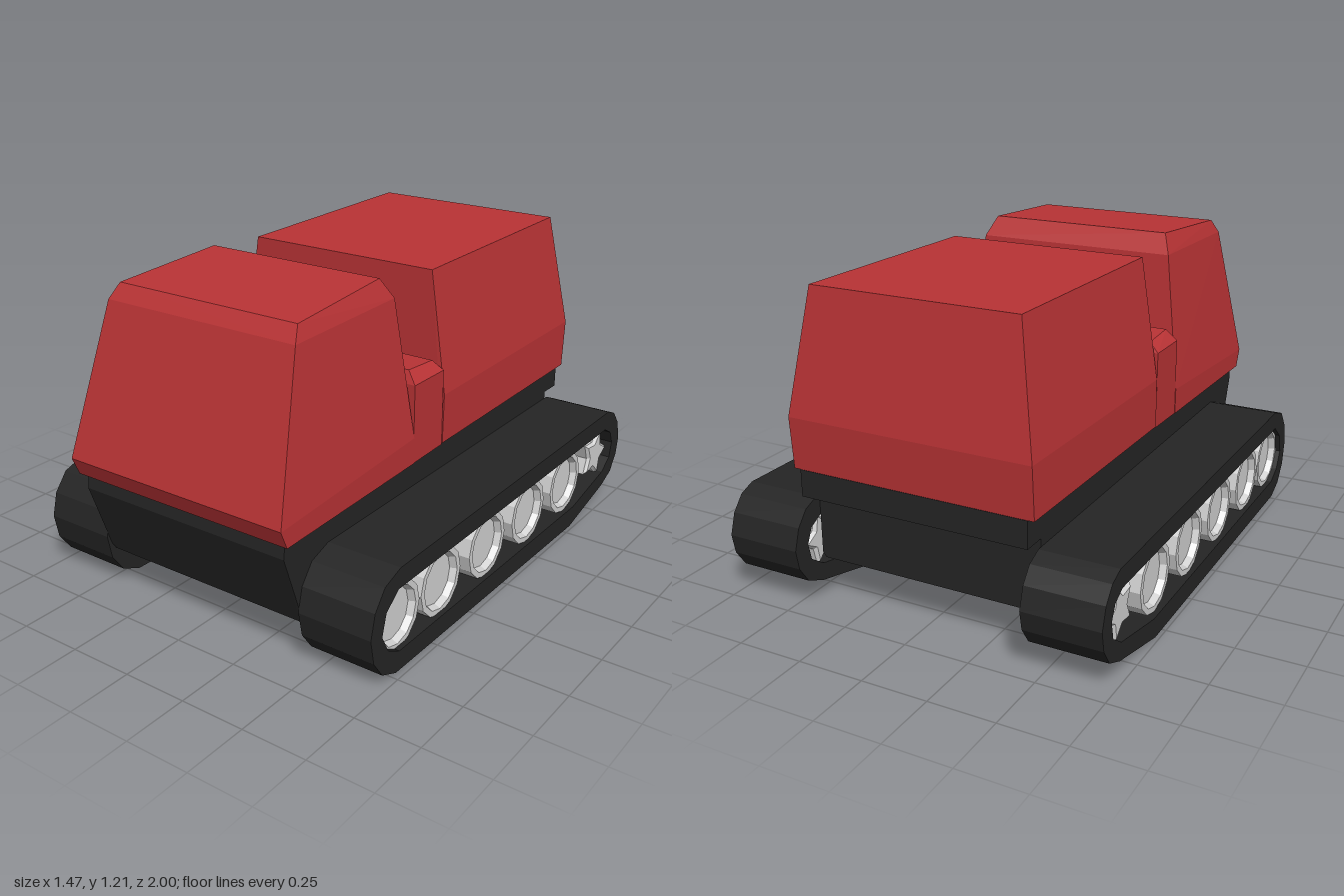
import * as THREE from 'three';
import { ConvexGeometry } from 'three/addons/geometries/ConvexGeometry.js';

const red = new THREE.MeshStandardMaterial({ color: 0xb93335 });
red.name = 'red paint';
const black = new THREE.MeshStandardMaterial({ color: 0x252525 });
black.name = 'black rubber';
const grey = new THREE.MeshStandardMaterial({ color: 0xd2d2d2 });
grey.name = 'light grey metal';

function add(parent, name, geometry, material) {
  const mesh = new THREE.Mesh(geometry, material);
  mesh.name = name;
  parent.add(mesh);
  return mesh;
}

// Faceted shell from side profile points [z, y, half width], mirrored across x
function shell(profile) {
  return new ConvexGeometry(profile.flatMap(([z, y, w]) => [
    new THREE.Vector3(w, y, z), new THREE.Vector3(-w, y, z),
  ]));
}

// Side profile (z, y) extruded along x and centred on x = 0
function extrudeAcross(shape, width, bevel = 0) {
  const depth = width - 2 * bevel;
  const g = new THREE.ExtrudeGeometry(shape, {
    depth, bevelEnabled: bevel > 0, bevelSize: bevel, bevelThickness: bevel,
    bevelOffset: -bevel, bevelSegments: 1,
  });
  g.translate(0, 0, -depth / 2);
  g.rotateY(-Math.PI / 2);
  return g;
}

const toPoints = (list) => list.map(([a, b]) => new THREE.Vector2(a, b));

// Track belt: closed loop with an opening for the wheels
function trackGeometry() {
  const shape = new THREE.Shape(toPoints([
    [0.74, 0.02], [0.82, 0.055], [0.87, 0.125], [0.888, 0.22], [0.865, 0.31],
    [0.81, 0.38], [0.72, 0.41], [-0.87, 0.41], [-0.93, 0.385], [-0.975, 0.33],
    [-1, 0.25], [-0.985, 0.175], [-0.94, 0.11], [-0.86, 0.075], [-0.56, 0.005],
  ]));
  shape.holes.push(new THREE.Path(toPoints([
    [0.72, 0.095], [0.785, 0.13], [0.823, 0.2], [0.8, 0.28], [0.73, 0.335],
    [-0.85, 0.335], [-0.905, 0.305], [-0.93, 0.25], [-0.915, 0.185],
    [-0.85, 0.14], [-0.58, 0.085],
  ])));
  return extrudeAcross(shape, 0.29);
}

// Road wheel: wide roller with a shallow dish on both ends
function wheelGeometry() {
  const profile = toPoints([
    [0, -0.1], [0.098, -0.1], [0.108, -0.125], [0.13, -0.125],
    [0.13, 0.125], [0.108, 0.125], [0.098, 0.1], [0, 0.1],
  ]);
  const g = new THREE.LatheGeometry(profile, 12).toNonIndexed();
  g.computeVertexNormals();
  g.rotateZ(-Math.PI / 2);
  return g;
}

// Drive sprocket: five-pointed star
function sprocketGeometry() {
  const points = [];
  for (let i = 0; i < 10; i++) {
    const a = Math.PI + (i * Math.PI) / 5;
    const r = i % 2 ? 0.062 : 0.108;
    points.push(new THREE.Vector2(r * Math.cos(a), r * Math.sin(a)));
  }
  return extrudeAcross(new THREE.Shape(points), 0.25, 0.012);
}

export function createModel() {
  const model = new THREE.Group();
  model.name = 'trackedCarrier';

  // Front cab
  add(model, 'cab', shell([
    [0.97, 0.505, 0.47], [1.0, 0.575, 0.47], [0.83, 1.13, 0.406], [0.79, 1.185, 0.385],
    [0.32, 1.215, 0.37], [0.275, 1.14, 0.403], [0.235, 0.62, 0.47], [0.235, 0.52, 0.47],
  ]), red);

  // Low link between cab and cargo body
  add(model, 'middleCover', shell([
    [0.235, 0.52, 0.468], [0.235, 0.82, 0.468], [0.215, 0.865, 0.428],
    [0.06, 0.855, 0.428], [0.042, 0.82, 0.468], [0.042, 0.525, 0.468],
  ]), red);

  // Rear cargo body
  add(model, 'cargoBody', shell([
    [0.04, 0.53, 0.47], [0.035, 0.72, 0.47], [0.03, 1.182, 0.4],
    [-0.89, 1.192, 0.4], [-0.957, 0.735, 0.47], [-0.943, 0.542, 0.47],
  ]), red);

  // Lower hull with a narrow chamfer along the bottom, and a rear overhang
  add(model, 'hull', shell([
    [0.95, 0.507, 0.445], [0.958, 0.45, 0.445], [0.866, 0.185, 0.445], [0.86, 0.167, 0.43],
    [-0.85, 0.167, 0.43], [-0.85, 0.185, 0.445], [-0.85, 0.535, 0.445],
  ]), black);
  add(model, 'rearLedge', shell([
    [-0.8, 0.44, 0.445], [-0.8, 0.536, 0.445], [-0.943, 0.541, 0.445], [-0.943, 0.44, 0.445],
  ]), black);

  // Running gear on both sides
  const track = trackGeometry();
  const wheel = wheelGeometry();
  const sprocket = sprocketGeometry();
  for (const side of [-1, 1]) {
    const gear = new THREE.Group();
    gear.name = side > 0 ? 'leftRunningGear' : 'rightRunningGear';
    gear.position.x = side * 0.59;
    add(gear, 'track', track, black);
    [0.7, 0.43, 0.108, -0.21, -0.527].forEach((z, i) => {
      add(gear, 'roadWheel' + (i + 1), wheel, grey).position.set(0, 0.213, z);
    });
    add(gear, 'driveSprocket', sprocket, grey).position.set(0, 0.23, -0.815);
    model.add(gear);
  }
  return model;
}
